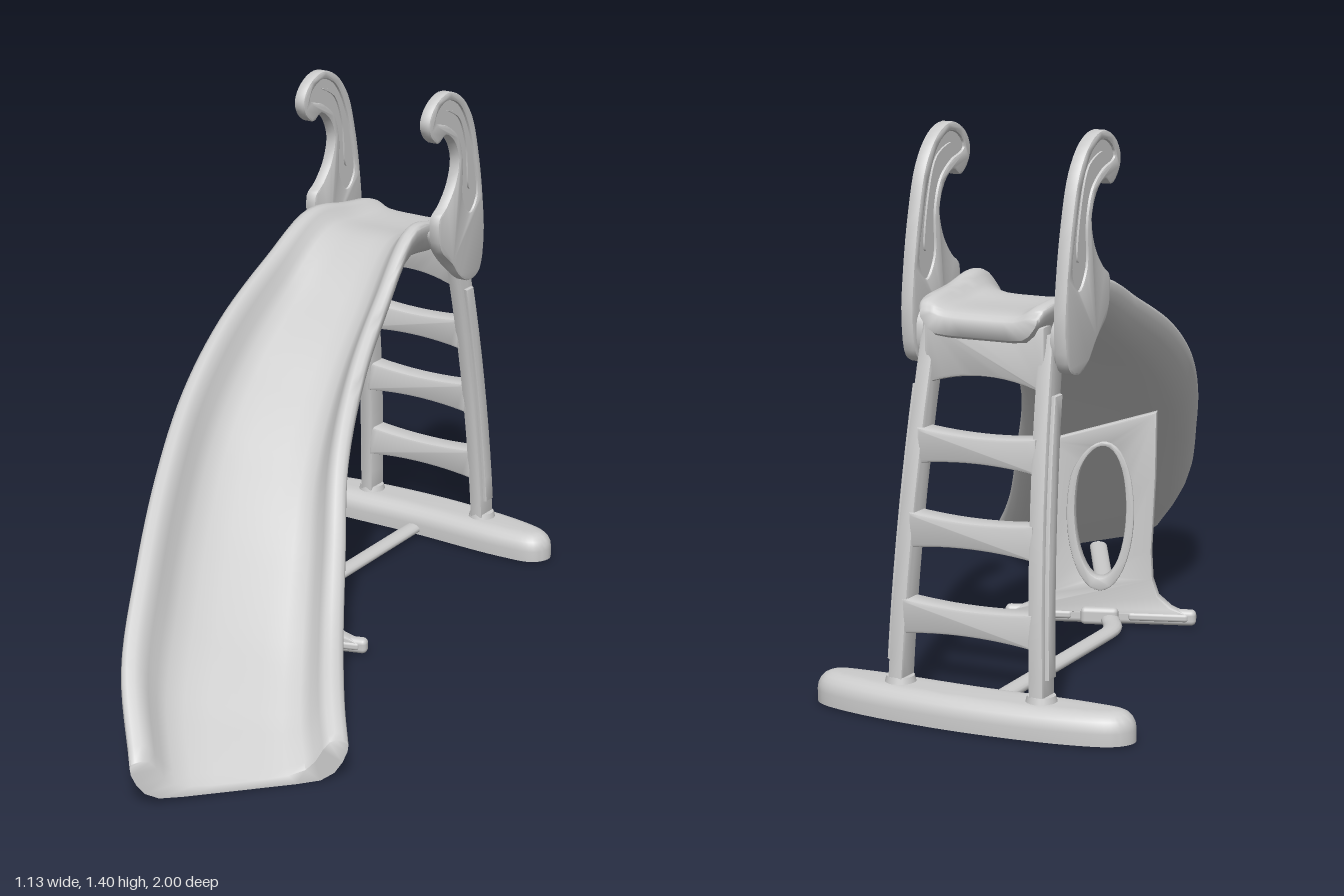
import * as THREE from 'three';
import { RoundedBoxGeometry } from 'three/addons/geometries/RoundedBoxGeometry.js';
import { toCreasedNormals } from 'three/addons/utils/BufferGeometryUtils.js';

const MID = -0.142; // x of the ladder's centre line
const mat = new THREE.MeshStandardMaterial({ color: 0xcccccc, roughness: 0.7 });

function add(parent, name, geo, x = 0, y = 0, z = 0) {
  const m = new THREE.Mesh(geo, mat);
  m.name = name;
  m.position.set(x, y, z);
  parent.add(m);
}
const vecs = (pts) => pts.map(([x, y]) => new THREE.Vector2(x, y));

// smooth closed outline through a few points
function smooth(pts, n = 72) {
  const c = new THREE.CatmullRomCurve3(pts.map(([x, y]) => new THREE.Vector3(x, y, 0)), true);
  return c.getPoints(n).slice(0, n).map((p) => new THREE.Vector2(p.x, p.y));
}

// plate centred on its thickness, with small rounded edges
function plate(outline, thick, bevel, holes = [], segs = 2) {
  const shape = new THREE.Shape(outline);
  shape.holes = holes.map((h) => new THREE.Path(h));
  const g = new THREE.ExtrudeGeometry(shape, {
    depth: thick - 2 * bevel, bevelEnabled: bevel > 0, bevelThickness: bevel,
    bevelSize: bevel, bevelOffset: -bevel, bevelSegments: segs,
  });
  g.translate(0, 0, -(thick - 2 * bevel) / 2);
  return toCreasedNormals(g, 0.7);
}
// the same plate standing in the z-y plane
const sidePlate = (...a) => plate(...a).rotateY(-Math.PI / 2);

// Chute: cross-sections swept between the two curving rims
const stations = [ // left rim, right rim, trough depth, wall thickness
  [[-0.29, 0.965, -0.85], [0.02, 0.965, -0.85], 0.01, 0.04],
  [[-0.3, 0.99, -0.83], [0.028, 0.99, -0.83], 0.02, 0.065],
  [[-0.312, 1.01, -0.7], [0.032, 1.01, -0.7], 0.035, 0.055],
  [[-0.322, 1.026, -0.55], [0.038, 1.026, -0.555], 0.055, 0.05],
  [[-0.309, 0.947, -0.33], [0.075, 0.892, -0.36], 0.08, 0.032],
  [[-0.278, 0.845, -0.07], [0.13, 0.75, -0.16], 0.1, 0.025],
  [[-0.224, 0.724, 0.17], [0.214, 0.588, 0.04], 0.108, 0.025],
  [[-0.138, 0.592, 0.4], [0.32, 0.412, 0.21], 0.108, 0.025],
  [[-0.03, 0.438, 0.63], [0.422, 0.255, 0.37], 0.105, 0.025],
  [[0.083, 0.272, 0.84], [0.507, 0.157, 0.49], 0.097, 0.025],
  [[0.227, 0.112, 0.998], [0.567, 0.094, 0.563], 0.08, 0.022],
];
// half profile: position across, depth share, thickness share
const inner = [[0.025, 0.03, 0], [0.06, 0.06, 0], [0.09, 0.01, 0], [0.12, -0.22, 0], [0.155, -0.58, 0],
  [0.2, -0.83, 0], [0.28, -0.96, 0], [0.39, -1, 0], [0.5, -1, 0]];
const outer = [[0.006, -0.03, 0], [0, -0.14, 0], [0.005, -0.32, 0.2], [0.028, -0.6, 0.4], [0.065, -0.84, 0.7],
  [0.13, -0.98, 0.95], [0.24, -1, 1], [0.36, -1, 1], [0.5, -1, 1]];

function chuteGeometry() {
  const across = (h) => [...h, ...h.slice(0, -1).reverse().map(([u, d, c]) => [1 - u, d, c])];
  const loop = [...across(inner), ...across(outer).reverse()];
  const N = loop.length, ROWS = 60, pos = [], idx = [];
  const rim = (k) => new THREE.CatmullRomCurve3(stations.map((s) => new THREE.Vector3(...s[k])));
  const left = rim(0), right = rim(1), last = stations.length - 1;
  for (let i = 0; i <= ROWS; i++) {
    const t = i / ROWS, k = Math.min(Math.floor(t * last), last - 1), f = t * last - k;
    const mix = (n) => THREE.MathUtils.lerp(stations[k][n], stations[k + 1][n], f);
    const L = left.getPoint(t), R = right.getPoint(t), depth = mix(2), thick = mix(3);
    for (const [u, d, c] of loop) {
      const p = L.clone().lerp(R, u);
      pos.push(p.x, p.y + d * depth - c * thick, p.z);
    }
  }
  for (let i = 0; i < ROWS; i++) for (let j = 0; j < N; j++) {
    const a = i * N + j, b = i * N + (j + 1) % N, c = b + N, d = a + N;
    idx.push(a, d, b, b, d, c);
  }
  for (let j = 0; j < N / 2 - 1; j++) { // end caps
    const o = N - 1 - j, e = ROWS * N;
    idx.push(o, j, j + 1, o, j + 1, o - 1, e + o, e + j + 1, e + j, e + o, e + o - 1, e + j + 1);
  }
  const g = new THREE.BufferGeometry();
  g.setAttribute('position', new THREE.Float32BufferAttribute(pos, 3));
  g.setIndex(idx);
  return toCreasedNormals(g, 1.1);
}

// Handles: curled side plates with a sunken crescent
function addHandles(root) {
  const outline = smooth([[-0.556, 1.289], [-0.545, 1.326], [-0.572, 1.369], [-0.636, 1.395], [-0.706, 1.372],
    [-0.765, 1.305], [-0.802, 1.198], [-0.829, 1.064], [-0.84, 0.941], [-0.82, 0.85], [-0.77, 0.832],
    [-0.717, 0.856], [-0.674, 0.904], [-0.615, 0.957], [-0.604, 1.045], [-0.642, 1.075], [-0.684, 1.128],
    [-0.7, 1.193], [-0.674, 1.251], [-0.631, 1.278], [-0.594, 1.262]], 84);
  const crescent = smooth([[-0.578, 1.325], [-0.592, 1.353], [-0.64, 1.372], [-0.7, 1.347], [-0.752, 1.27],
    [-0.784, 1.17], [-0.8, 1.07], [-0.765, 1.03], [-0.725, 1.08], [-0.722, 1.19], [-0.695, 1.262], [-0.64, 1.302]], 60);
  const rib = smooth([[-0.64, 1.345], [-0.7, 1.31], [-0.74, 1.22], [-0.757, 1.1], [-0.772, 1.1],
    [-0.756, 1.22], [-0.712, 1.318]], 36);
  // thick bracket joining the handle to the deck
  const bracket = smooth([[-0.62, 1.0], [-0.7, 1.0], [-0.815, 0.95], [-0.815, 0.87], [-0.77, 0.84],
    [-0.71, 0.875], [-0.64, 0.945]], 40);
  for (const s of [-1, 1]) {
    const handle = new THREE.Group();
    handle.name = s < 0 ? 'rightHandle' : 'leftHandle';
    handle.position.x = MID + s * 0.203;
    add(handle, 'handleFrame', sidePlate(outline, 0.034, 0.006, [crescent]));
    add(handle, 'handleCore', sidePlate(crescent, 0.02, 0));
    add(handle, 'handleRib', sidePlate(rib, 0.03, 0));
    add(handle, 'handleBracket', sidePlate(bracket, 0.05, 0.006), -s * 0.01);
    root.add(handle);
  }
}

// Ladder: curved, slightly splayed rails with arched steps
function addLadder(root) {
  const ladder = new THREE.Group();
  ladder.name = 'ladder';
  ladder.position.x = MID;
  root.add(ladder);
  const zAt = (y) => -0.912 + 0.025 * y + 0.12 * y * y;
  const strip = (y0, y1, half) => {
    const ys = Array.from({ length: 10 }, (_, i) => y0 + ((y1 - y0) * i) / 9);
    return vecs([...ys.map((y) => [zAt(y) - half, y]), ...ys.reverse().map((y) => [zAt(y) + half, y])]);
  };
  const rail = strip(0.04, 0.93, 0.033), cover = strip(0.13, 0.79, 0.019);
  const lean = (g, s, out) => {
    const p = g.attributes.position;
    for (let i = 0; i < p.count; i++) p.setX(i, p.getX(i) + s * (out - 0.04 * (p.getY(i) - 0.07)));
    return g;
  };
  for (const s of [-1, 1]) {
    add(ladder, 'rail', lean(sidePlate(rail, 0.04, 0.008), s, 0.19));
    add(ladder, 'railCover', lean(sidePlate(cover, 0.024, 0.005), s, 0.209));
    add(ladder, 'railSocket', new THREE.CylinderGeometry(0.034, 0.042, 0.03, 20), s * 0.19, 0.075, -0.91);
  }
  const arched = (w, top, bottom, rise) => {
    const sh = new THREE.Shape();
    sh.moveTo(-w, top);
    sh.lineTo(-w, bottom);
    sh.quadraticCurveTo(0, bottom + 2 * rise, w, bottom);
    sh.lineTo(w, top);
    sh.quadraticCurveTo(0, top - 0.02, -w, top);
    return sh.getPoints(12).slice(0, -1).reverse();
  };
  for (const y of [0.243, 0.45, 0.65]) {
    const w = 0.185 - 0.04 * y;
    add(ladder, 'step', plate(arched(w, 0.042, -0.045, 0.012), 0.064, 0.008), 0, y, zAt(y));
  }
  add(ladder, 'ladderApron', plate(arched(0.16, 0.95, 0.79, 0.03), 0.045, 0.008), 0, 0, -0.812);
}

// Middle support: windowed plate on a long foot, turned to follow the chute
function addSupport(root) {
  const support = new THREE.Group();
  support.name = 'middleSupport';
  support.position.set(-0.03, 0, 0.02);
  support.rotation.y = 0.33;
  const half = [[0.235, 0.03], [0.19, 0.05], [0.155, 0.08], [0.14, 0.125], [0.136, 0.2], [0.141, 0.3],
    [0.145, 0.4], [0.145, 0.56]];
  const outline = vecs([...half, ...half.map(([x, y]) => [-x, y]).reverse()]);
  // lean the plate forward with height, and slope its top edge along the chute
  const bend = (g) => {
    const p = g.attributes.position;
    for (let i = 0; i < p.count; i++) {
      const x = p.getX(i), y = p.getY(i);
      p.setZ(i, p.getZ(i) + 0.13 * y * y);
      p.setY(i, y - Math.max(0, y - 0.4) * (x + 0.12) * 1.8);
    }
    return g;
  };
  const oval = (rx, ry, cy) => new THREE.EllipseCurve(0, cy, rx, ry).getPoints(40).slice(0, 40);
  const hole = oval(0.068, 0.185, 0.31);
  add(support, 'supportPlate', bend(plate(outline, 0.034, 0.006, [hole])));
  add(support, 'windowRim', bend(plate(oval(0.09, 0.21, 0.3), 0.042, 0.005, [hole])));
  add(support, 'supportFoot', new RoundedBoxGeometry(0.51, 0.042, 0.034, 3, 0.014), 0, 0.021, 0);
  for (const s of [-1, 1])
    add(support, 'footPad', new RoundedBoxGeometry(0.16, 0.022, 0.042, 2, 0.008), s * 0.155, 0.022, 0);
  add(support, 'pipeClamp', new RoundedBoxGeometry(0.1, 0.046, 0.07, 2, 0.012), 0, 0.023, 0);
  root.add(support);
}

export function createModel() {
  const root = new THREE.Group();
  root.name = 'slide';
  add(root, 'chute', chuteGeometry());
  addHandles(root);
  addLadder(root);
  addSupport(root);

  // Rear base: bowed plan with a rounded top and a flat underside
  const plan = smooth([[-0.425, 0.895], [-0.4, 0.94], [-0.3, 0.975], [0, 1], [0.3, 0.975], [0.4, 0.94],
    [0.425, 0.895], [0.4, 0.847], [0.3, 0.83], [0, 0.835], [-0.3, 0.83], [-0.4, 0.847]], 72);
  const base = plate(plan, 0.15, 0.045, [], 5).rotateX(-Math.PI / 2);
  const bp = base.attributes.position;
  for (let i = 0; i < bp.count; i++) bp.setY(i, Math.max(bp.getY(i), 0));
  add(root, 'rearBase', toCreasedNormals(base, 0.7), MID, 0, 0);

  // Floor pipe: flattened, from the base, bending at the support, to the chute's foot
  const path = new THREE.CurvePath();
  const v = (x, z) => new THREE.Vector3(x, 0, z);
  path.add(new THREE.LineCurve3(v(MID, -0.87), v(-0.12, -0.12)));
  path.add(new THREE.QuadraticBezierCurve3(v(-0.12, -0.12), v(-0.115, -0.06), v(-0.08, -0.02)));
  path.add(new THREE.LineCurve3(v(-0.08, -0.02), v(0.315, 0.71)));
  add(root, 'floorPipe', new THREE.TubeGeometry(path, 60, 0.025, 16).scale(1, 0.58, 1), 0, 0.0155, 0);
  return root;
}
